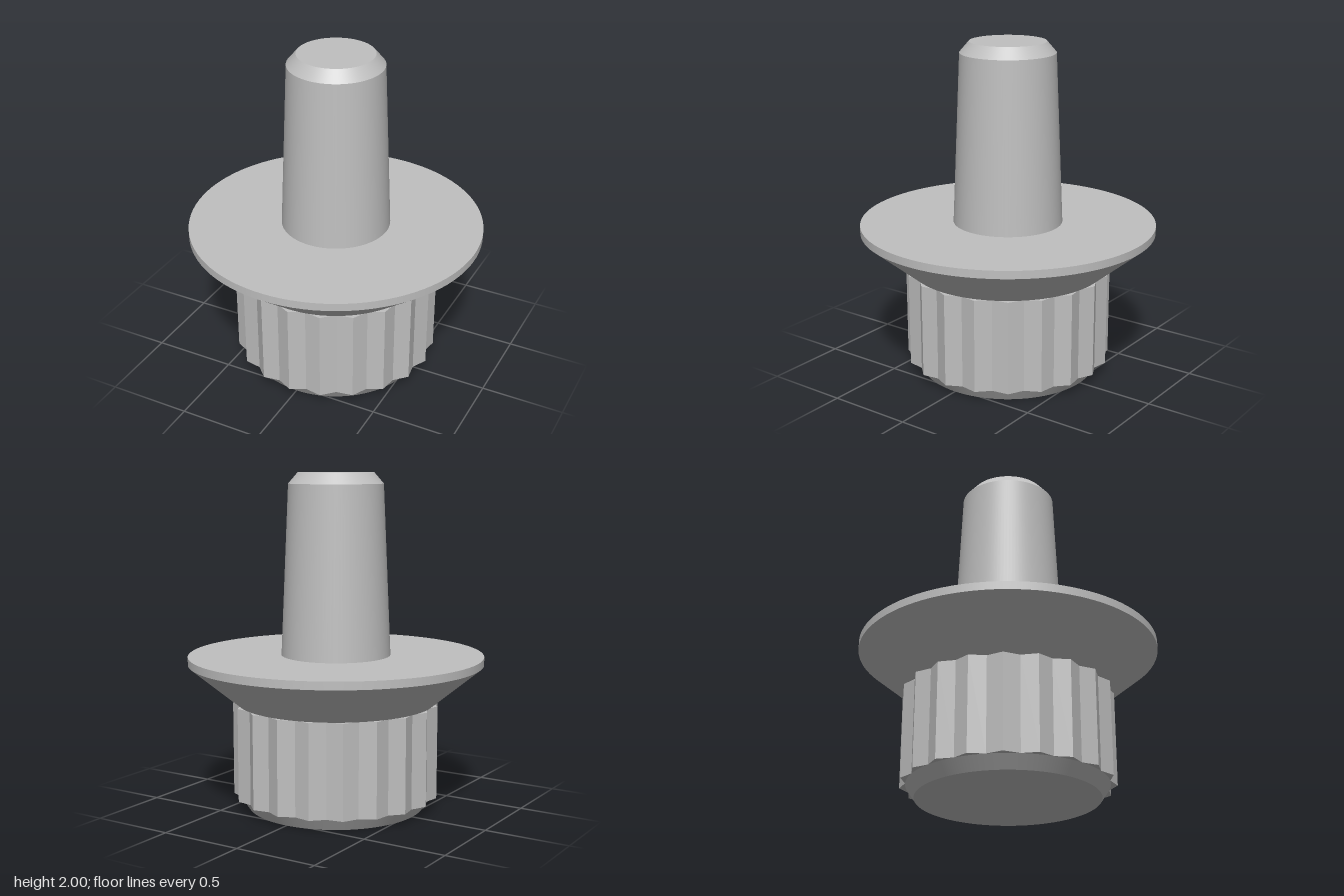
import * as THREE from 'three';

const SEGMENTS = 96;
const TEETH = 20;

export function createModel() {
  const group = new THREE.Group();
  const grey = new THREE.MeshStandardMaterial({ color: 0xbfbfbf });
  grey.name = 'plain grey';

  const add = (name, geometry) => {
    const mesh = new THREE.Mesh(geometry, grey);
    mesh.name = name;
    group.add(mesh);
  };

  // Conical section between two heights, optionally open at both ends
  const section = (name, y0, r0, y1, r1, open = false) =>
    add(name, new THREE.CylinderGeometry(r1, r0, y1 - y0, SEGMENTS, 1, open)
      .translate(0, (y0 + y1) / 2, 0));

  // Bevelled foot
  section('footBevel', 0, 0.53, 0.075, 0.58);

  // Grip with sharp vertical ridges, one ridge facing the front
  const outline = [];
  for (let i = 0; i < TEETH * 2; i++) {
    const a = (i * Math.PI) / TEETH;
    const r = i % 2 ? 0.58 : 0.618;
    outline.push(new THREE.Vector2(r * Math.sin(a), -r * Math.cos(a)));
  }
  add('ridgedGrip', new THREE.ExtrudeGeometry(new THREE.Shape(outline), { depth: 0.56, bevelEnabled: false })
    .rotateX(-Math.PI / 2).translate(0, 0.075, 0));

  // Flange: flared underside, then a thin rim with a flat top
  section('flangeFlare', 0.635, 0.59, 0.875, 0.882, true);
  section('flangeRim', 0.875, 0.882, 0.922, 0.882);

  // Tapered shaft with a bevelled tip
  section('shaft', 0.922, 0.326, 1.935, 0.281, true);
  section('shaftTip', 1.935, 0.281, 2, 0.225);

  return group;
}
